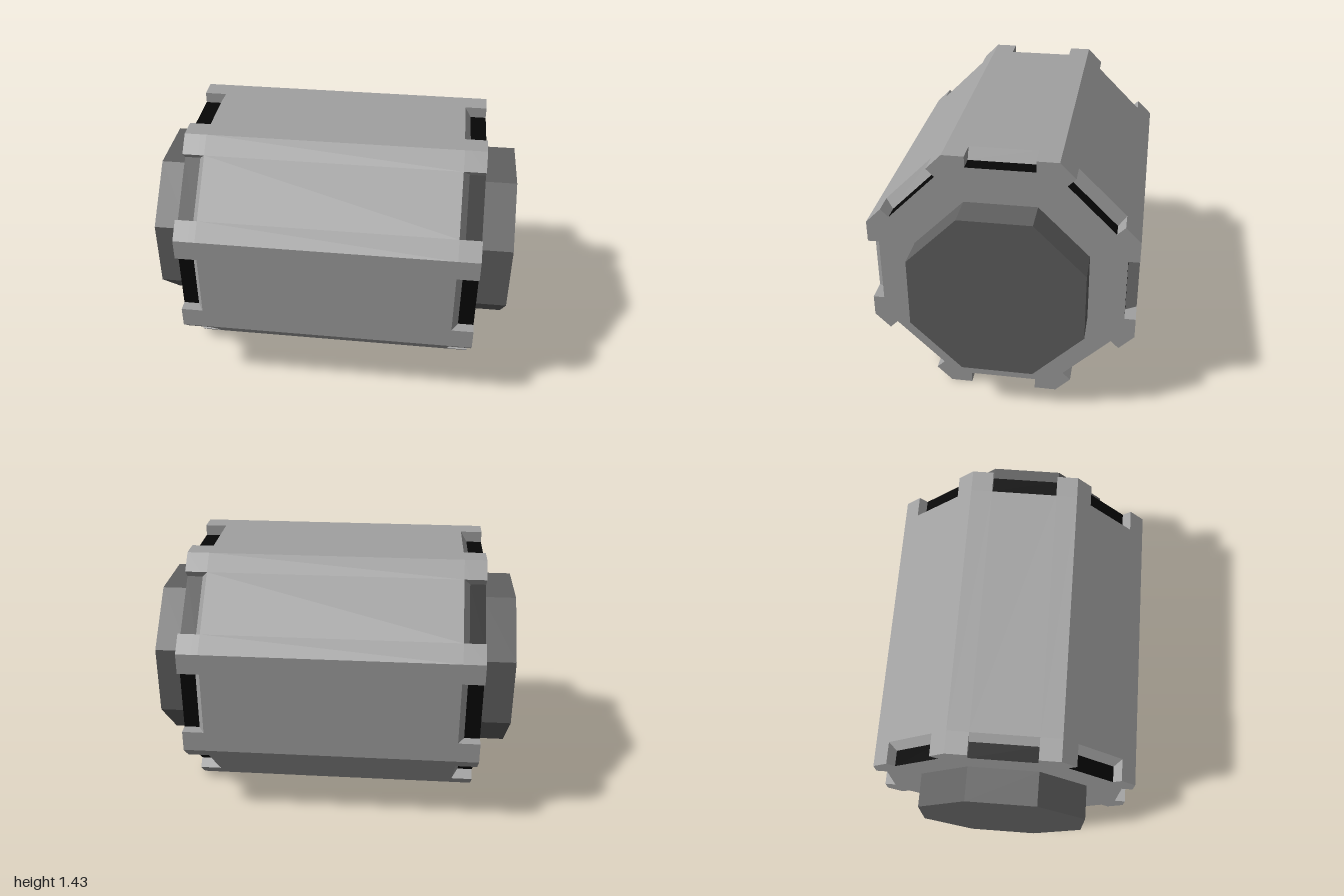
import * as THREE from 'three';

const APOTHEM = 0.715;      // centre of the drum to each flat side
const SIDE = APOTHEM * Math.tan(Math.PI / 8);
const END = 0.815;          // half length of the drum
const SLOT = { half: 0.18, depth: 0.06, floorX: 0.73, startX: 0.695 };
const HUB_APOTHEM = 0.46;

// Octagon outline as [y, z] pairs, with a slot cut into the middle of every side.
// Five points per side: corner, slot edge, floor, floor, slot edge.
function outline(depth) {
  const points = [];
  for (let k = 0; k < 8; k++) {
    const a = (k * Math.PI) / 4, c = Math.cos(a), s = Math.sin(a);
    const add = (r, t) => points.push([r * c - t * s, r * s + t * c]);
    add(APOTHEM, -SIDE);
    add(APOTHEM, -SLOT.half);
    add(APOTHEM - depth, -SLOT.half);
    add(APOTHEM - depth, SLOT.half);
    add(APOTHEM, SLOT.half);
  }
  return points;
}

function flatGeometry(positions) {
  const g = new THREE.BufferGeometry();
  g.setAttribute('position', new THREE.Float32BufferAttribute(positions, 3));
  g.computeVertexNormals();
  return g;
}

// Skin between outlines along x; the slot floors are collected separately.
function drumSkin() {
  const plain = outline(0), cut = outline(SLOT.depth);
  const rings = [
    [-END, cut], [-SLOT.floorX, cut], [-SLOT.startX, plain],
    [SLOT.startX, plain], [SLOT.floorX, cut], [END, cut],
  ].map(([x, pts]) => pts.map(([y, z]) => new THREE.Vector3(x, y, z)));
  const shell = [], floors = [];
  const triangle = new THREE.Triangle();
  for (let r = 0; r < rings.length - 1; r++) {
    for (let i = 0; i < 40; i++) {
      const j = (i + 1) % 40;
      const [a, b, c, d] = [rings[r][i], rings[r][j], rings[r + 1][j], rings[r + 1][i]];
      const target = i % 5 === 2 && (r === 0 || r === 4) ? floors : shell;
      for (const corners of [[a, b, c], [a, c, d]]) {
        if (triangle.set(...corners).getArea() < 1e-6) continue;
        corners.forEach((p) => target.push(p.x, p.y, p.z));
      }
    }
  }
  return { shell: flatGeometry(shell), floors: flatGeometry(floors) };
}

export function createModel() {
  const paint = (color) => new THREE.MeshStandardMaterial({ color, flatShading: true });
  const grey = paint(0xa0a0a0), darkGrey = paint(0x606060), black = paint(0x060606);
  const model = new THREE.Group();
  model.name = 'octagonalDrum';

  const add = (name, geometry, material) => {
    const mesh = new THREE.Mesh(geometry, material);
    mesh.name = name;
    mesh.position.y = APOTHEM;
    model.add(mesh);
  };

  // Drum body and black slot floors
  const { shell, floors } = drumSkin();
  add('drumShell', shell, grey);
  add('slotFloors', floors, black);

  // End plates and darker protruding hubs, one per end
  const plate = new THREE.Shape(outline(SLOT.depth).map(([y, z]) => new THREE.Vector2(z, y)));
  const hubRadius = HUB_APOTHEM / Math.cos(Math.PI / 8);
  for (const [label, side] of [['left', 1], ['right', -1]]) {
    add(label + 'EndPlate',
      new THREE.ShapeGeometry(plate).rotateY((side * Math.PI) / 2).translate(side * END, 0, 0), grey);
    add(label + 'Hub',
      new THREE.CylinderGeometry(hubRadius, hubRadius, 1 - END, 8)
        .rotateY(Math.PI / 8).rotateZ(Math.PI / 2)
        .translate((side * (1 + END)) / 2, 0, 0), darkGrey);
  }
  return model;
}
